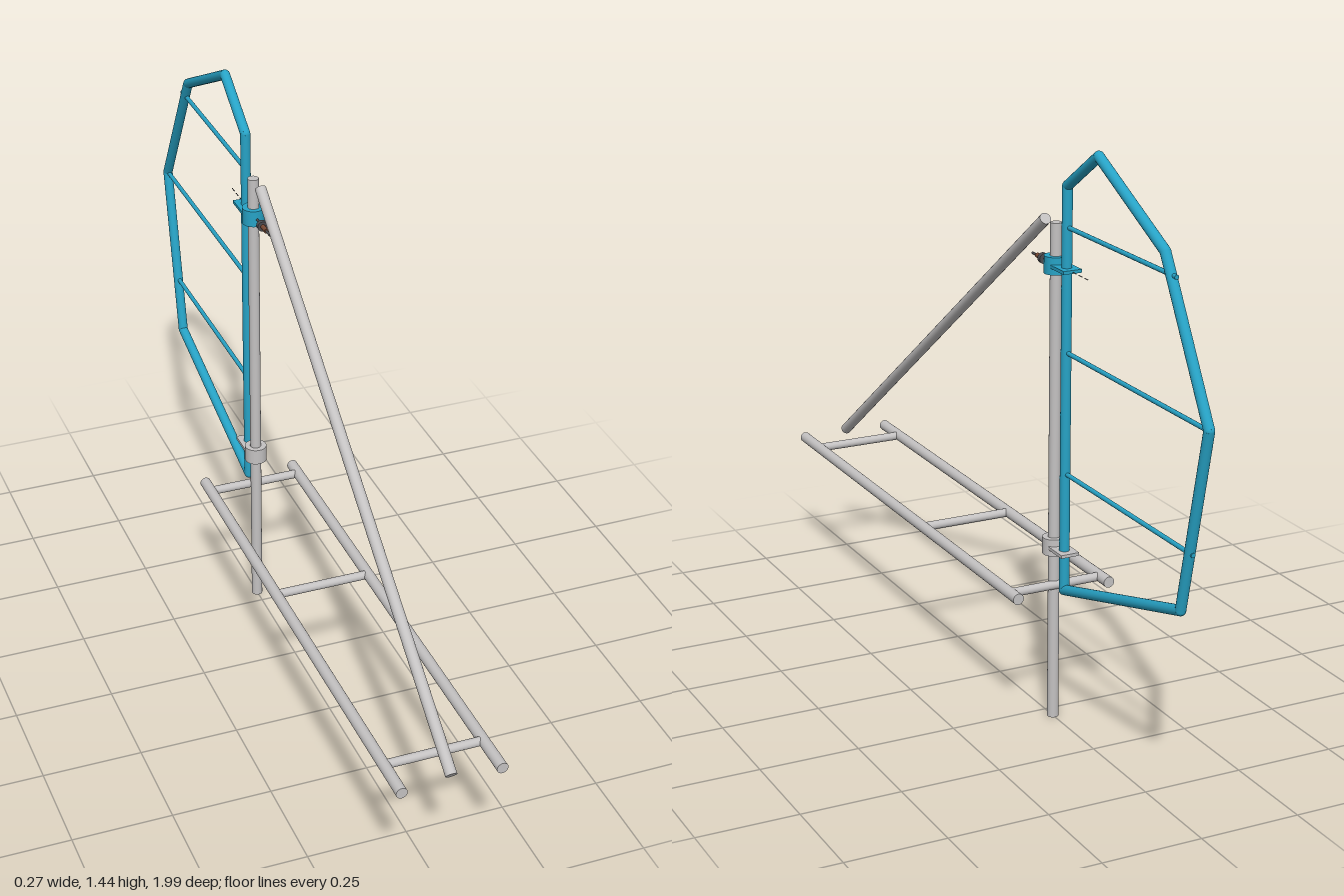
import * as THREE from 'three';

export function createModel() {
  const model = new THREE.Group();
  const material = (name, color) => {
    const m = new THREE.MeshStandardMaterial({ color });
    m.name = name;
    return m;
  };
  const steel = material('light steel', 0xc4c2c2);
  const blue = material('tail blue', 0x27a3c6);
  const brown = material('brown', 0x7a4a34);
  const dark = material('dark steel', 0x4c4c50);

  const add = (name, geometry, mat, x, y, z) => {
    const mesh = new THREE.Mesh(geometry, mat);
    mesh.name = name;
    mesh.position.set(x, y, z);
    model.add(mesh);
    return mesh;
  };
  // Round bar between two points
  const bar = (name, a, b, r, mat, sides = 20) => {
    const p = new THREE.Vector3(...a), q = new THREE.Vector3(...b);
    const dir = q.clone().sub(p), mid = p.add(q).multiplyScalar(0.5);
    const mesh = add(name, new THREE.CylinderGeometry(r, r, dir.length(), sides), mat, mid.x, mid.y, mid.z);
    mesh.quaternion.setFromUnitVectors(new THREE.Vector3(0, 1, 0), dir.normalize());
    return mesh;
  };

  // Mast and diagonal boom
  const mastZ = -0.29, R = 0.014;
  bar('mast', [0, 0, mastZ], [0, 1.24, mastZ], R, steel);
  bar('boom', [0, 0.357, 0.987], [0, 1.237, -0.237], R, steel);

  // Ladder-like base: two rails and three rungs
  for (const x of [-0.122, 0.122]) bar('rail', [x, 0.348, -0.345], [x, 0.348, 0.995], R, steel);
  for (const z of [-0.3, 0.195, 0.89]) bar('rung', [-0.122, 0.348, z], [0.122, 0.348, z], 0.011, steel);

  // Tail vane outline, with rounded joints
  const outline = [[0.35, -0.344], [1.336, -0.344], [1.432, -0.49], [1.285, -0.788], [0.943, -0.985], [0.5, -0.886]];
  outline.forEach(([y, z], i) => {
    const [y2, z2] = outline[(i + 1) % outline.length];
    bar('tailFrame', [0, y, z], [0, y2, z2], 0.0125, blue);
    add('tailJoint', new THREE.SphereGeometry(0.0125, 16, 10), blue, 0, y, z);
  });

  // Thin ribs across the vane
  for (const [y, z] of [[1.24, -0.838], [0.942, -0.985], [0.645, -0.934]])
    bar('tailRib', [0, y, -0.344], [0, y, z], 0.0055, blue, 12);

  // Hinge collars around the mast, with a lug reaching the vane
  const ring = new THREE.Shape().absarc(0, 0, 0.028, 0, Math.PI * 2);
  ring.holes.push(new THREE.Path().absarc(0, 0, 0.0145, 0, Math.PI * 2, true));
  const collar = new THREE.ExtrudeGeometry(ring, { depth: 0.042, bevelEnabled: false, curveSegments: 24 });
  collar.translate(0, 0, -0.021).rotateX(-Math.PI / 2);
  for (const [name, y, mat] of [['upperHinge', 1.141, blue], ['lowerHinge', 0.448, steel]]) {
    add(name + 'Collar', collar, mat, 0, y, mastZ);
    add(name + 'Lug', new THREE.BoxGeometry(0.048, 0.008, 0.066), mat, 0, y, -0.341);
  }

  // Latch in front of the upper hinge
  bar('latchPin', [0, 1.14, -0.172], [0, 1.14, -0.264], 0.003, dark, 10);
  bar('latchBody', [0, 1.14, -0.196], [0, 1.14, -0.222], 0.006, brown, 12);
  bar('latchDisc', [0, 1.14, -0.222], [0, 1.14, -0.234], 0.013, dark, 16);
  // Fine broken line trailing behind the hinge
  for (let i = 0; i < 3; i++)
    bar('trailingWire', [0, 1.14, -0.375 - i * 0.028], [0, 1.14, -0.39 - i * 0.028], 0.0012, dark, 6);

  return model;
}
